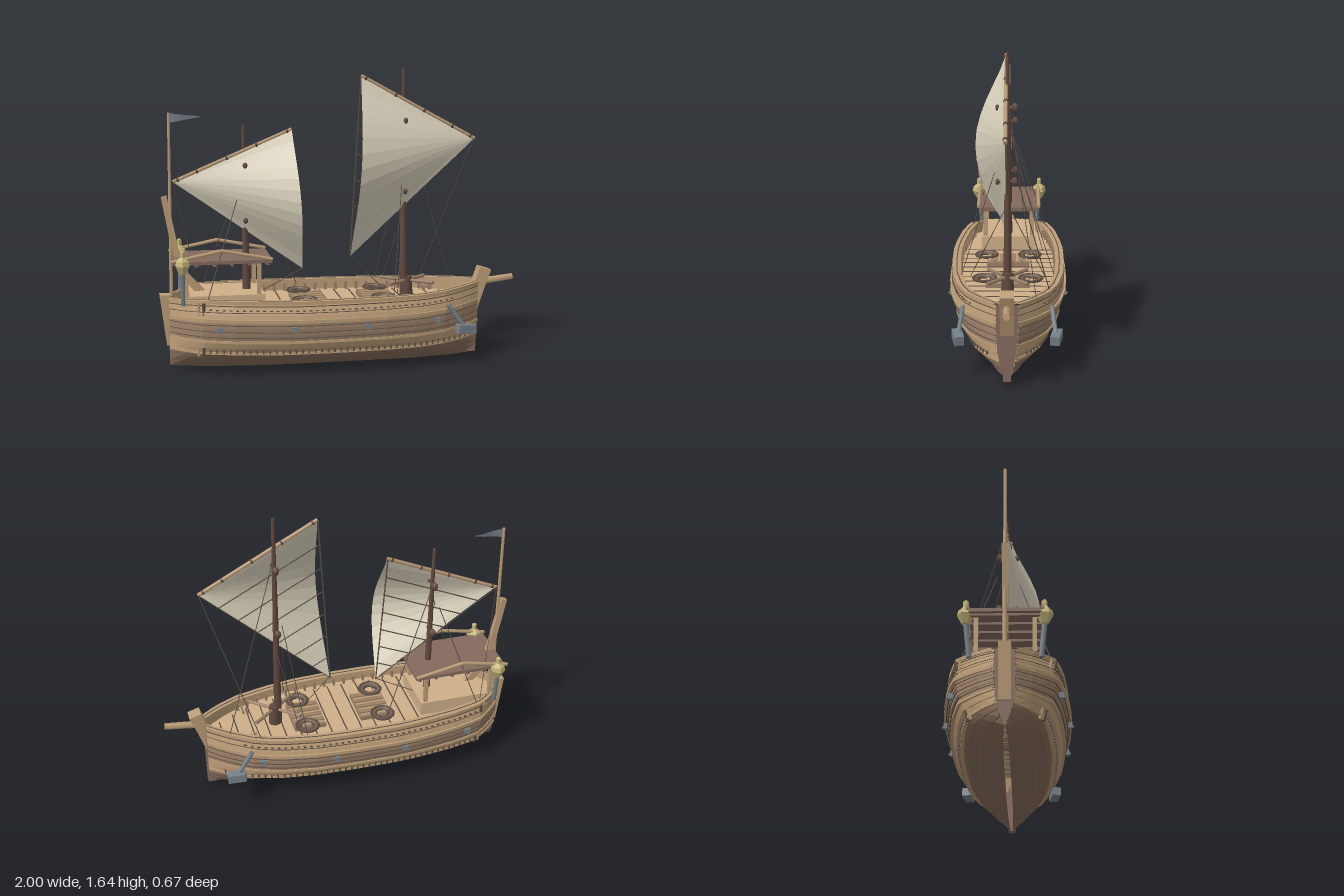
import * as THREE from 'three';

const mat = (name, color) => {
  const m = new THREE.MeshStandardMaterial({ color, side: THREE.DoubleSide });
  m.name = name;
  return m;
};
const M = {
  tan: mat('tan wood', 0xbc9d77), deck: mat('deck wood', 0xcfb089), brown: mat('hull brown', 0x9c8068),
  bottom: mat('lower hull brown', 0x866c5a), dark: mat('dark plank', 0x846a5e), mast: mat('mast wood', 0x61493f),
  rope: mat('rope', 0x5e5046), metal: mat('grey metal', 0x747f87), gold: mat('lantern gold', 0xc4b579), sail: mat('sailcloth', 0xdcd4be),
};

// Piecewise linear lookup in [key, value] pairs
const lookup = (t, x) => {
  let i = 1;
  while (i < t.length - 1 && x > t[i][0]) i++;
  const [a, p] = t[i - 1], [b, q] = t[i];
  return p + (q - p) * (x - a) / (b - a);
};
const BEAM = [[-0.95, 0.05], [-0.9, 0.12], [-0.83, 0.19], [-0.77, 0.24], [-0.6, 0.28], [-0.4, 0.305], [-0.25, 0.315],
  [0, 0.312], [0.2, 0.3], [0.4, 0.265], [0.55, 0.215], [0.66, 0.15], [0.74, 0.09], [0.78, 0.055]];
const SECTION = [[0, 0.05], [0.1, 0.38], [0.22, 0.64], [0.34, 0.79], [0.46, 0.89], [0.58, 0.95], [0.7, 0.99], [0.8, 1], [1, 0.96]];
const SHEER = [[-0.95, 0.41], [-0.78, 0.43], [-0.3, 0.42], [0.45, 0.42], [0.78, 0.44]];
const KEEL = [[-0.95, 0.035], [-0.75, 0.02], [-0.4, 0.01], [0.4, 0.01], [0.65, 0.018], [0.78, 0.033]];
const X0 = -0.95, X1 = 0.78, DECK = 0.365;
const xAt = u => X0 + (X1 - X0) * u;
const yAt = (x, v) => lookup(KEEL, x) * (1 - v) + lookup(SHEER, x) * v;
const zAt = (x, v) => lookup(BEAM, x) * lookup(SECTION, v);

// Flat-shaded surface over a grid; fn(u, v) gives [x, y, z]
function grid(nu, nv, fn) {
  const p = [];
  for (let i = 0; i < nu; i++) for (let j = 0; j < nv; j++) {
    const a = fn(i / nu, j / nv), b = fn((i + 1) / nu, j / nv);
    const c = fn((i + 1) / nu, (j + 1) / nv), d = fn(i / nu, (j + 1) / nv);
    p.push(...a, ...b, ...c, ...a, ...c, ...d);
  }
  const g = new THREE.BufferGeometry();
  g.setAttribute('position', new THREE.Float32BufferAttribute(p, 3));
  g.computeVertexNormals();
  return g;
}

export function createModel() {
  const ship = new THREE.Group();
  ship.name = 'sailingShip';
  const add = (name, geo, m, x = 0, y = 0, z = 0) => {
    const mesh = new THREE.Mesh(geo, m);
    mesh.name = name;
    mesh.position.set(x, y, z);
    ship.add(mesh);
    return mesh;
  };
  const box = (name, m, x, y, z, w, h, d) => add(name, new THREE.BoxGeometry(w, h, d), m, x, y, z);
  const bar = (name, m, a, b, r, r2 = r, sides = 6) => {
    const A = new THREE.Vector3(...a), B = new THREE.Vector3(...b), dir = B.clone().sub(A);
    const mesh = add(name, new THREE.CylinderGeometry(r2, r, dir.length(), sides), m);
    mesh.position.copy(A).addScaledVector(dir, 0.5);
    mesh.quaternion.setFromUnitVectors(new THREE.Vector3(0, 1, 0), dir.normalize());
    return mesh;
  };
  const plate = (name, m, pts, depth) => {
    const s = new THREE.Shape(pts.map(p => new THREE.Vector2(...p)));
    return add(name, new THREE.ExtrudeGeometry(s, { depth, bevelEnabled: false }), m, 0, 0, -depth / 2);
  };

  // Hull: overlapping strakes on each side, then wales, seams, studs and rails
  const levels = [0, 0.1, 0.2, 0.28, 0.37, 0.46, 0.56, 0.66, 0.76, 0.84, 0.92, 1];
  for (const s of [-1, 1]) {
    for (let k = 0; k < levels.length - 1; k++) {
      const lo = levels[k], hi = levels[k + 1];
      const m = lo < 0.27 ? M.bottom : lo < 0.45 ? M.tan : lo < 0.75 ? M.brown : M.tan;
      add('strake', grid(30, 2, (u, t) => {
        const x = xAt(u), v = t < 1 ? lo : hi, lip = t === 0.5 ? 0.007 : 0;
        return [x, yAt(x, v), s * (zAt(x, v) + lip)];
      }), m);
    }
    const band = (name, m, v, h, inner, outer) => add(name, grid(30, 4, (u, t) => {
      const x = xAt(u), c = Math.round(t * 4) % 4, up = c === 1 || c === 2 ? h : -h;
      return [x, yAt(x, v) + up, s * Math.max(0.02, zAt(x, v) + (c < 2 ? inner : outer))];
    }), m);
    band('lowerWale', M.tan, 0.29, 0.007, -0.01, 0.014);
    band('middleWale', M.tan, 0.47, 0.007, -0.01, 0.014);
    band('upperWale', M.tan, 0.76, 0.009, -0.01, 0.016);
    band('topRail', M.tan, 1, 0.009, -0.034, 0.014);
    band('railGroove', M.rope, 1, 0.0105, -0.014, -0.008);
    band('railSeam', M.rope, 0.955, 0.002, -0.01, 0.008);
    for (const v of [0.53, 0.61, 0.7, 0.87]) band('plankSeam', M.rope, v, 0.0015, -0.01, 0.0075);
    add('bulwarkInside', grid(30, 1, (u, t) => {
      const x = xAt(u);
      return [x, t ? yAt(x, 1) : DECK - 0.005, s * Math.max(0.01, zAt(x, 0.9) - 0.02)];
    }), M.tan);
    for (let x = -0.74; x < 0.7; x += 0.035) {
      box('stud', M.rope, x, yAt(x, 0.32), s * (zAt(x, 0.32) + 0.006), 0.008, 0.022, 0.014);
      if (x < 0.62) box('railStud', M.rope, x, yAt(x, 0.9), s * (zAt(x, 0.9) + 0.004), 0.014, 0.005, 0.014);
    }
    for (let x = -0.7; x < 0.62; x += 0.06)
      box('bulwarkFrame', M.brown, x, DECK + 0.022, s * (zAt(x, 0.9) - 0.034), 0.012, 0.044, 0.03);
    for (const x of [-0.69, -0.3, 0.1, 0.5]) {
      box('hullFitting', M.metal, x, 0.28, s * (zAt(x, 0.66) + 0.012), 0.03, 0.028, 0.024);
      bar('fittingPin', M.metal, [x, 0.275, s * zAt(x, 0.66)], [x, 0.275, s * (zAt(x, 0.66) + 0.033)], 0.007);
    }
    for (const x of [-0.775, -0.8]) bar('quarterPost', x < -0.78 ? M.tan : M.rope,
      [x, 0.12, s * (zAt(x, 0.28) + 0.008)], [x, 0.425, s * (zAt(x, 0.97) + 0.012)], 0.009);

    // Anchor slung at the bow
    bar('anchorArm', M.metal, [0.56, 0.36, s * 0.23], [0.65, 0.235, s * 0.25], 0.013);
    const fluke = box('anchorBlock', M.metal, 0.655, 0.226, s * 0.252, 0.1, 0.048, 0.05);
    fluke.rotation.set(0, s * 0.2, -0.12);
    // Stern lantern on a metal pole
    bar('lanternPole', M.metal, [-0.88, 0.4, s * 0.17], [-0.88, 0.58, s * 0.188], 0.013);
    const lantern = [[0, 0.565], [0.02, 0.575], [0.043, 0.62], [0.037, 0.645], [0.014, 0.665], [0.014, 0.695], [0, 0.705]];
    const lathe = new THREE.LatheGeometry(lantern.map(p => new THREE.Vector2(...p)), 6).toNonIndexed();
    lathe.computeVertexNormals();
    add('lantern', lathe, M.gold, -0.88, 0, s * 0.188);
    // Pavilion posts and peaked side trim
    for (const x of [-0.86, -0.47]) box('roofPost', M.tan, x, 0.53, s * 0.14, 0.022, 0.19, 0.022);
    for (const x of [-0.94, -0.4]) bar('roofTrim', M.tan, [x, 0.638, s * 0.178], [-0.67, 0.692, s * 0.178], 0.01);
    // Coils of rope and bow cleats
    for (const x of [-0.22, 0.22]) for (let k = 0; k < 3; k++) {
      const coil = add('ropeCoil', new THREE.TorusGeometry(0.062 - k * 0.012, 0.008, 5, 18),
        k === 1 ? M.bottom : M.rope, x, DECK + 0.035 - k * 0.004, s * 0.125);
      coil.rotation.x = Math.PI / 2;
    }
    for (const dx of [-0.014, 0.014]) box('bowCleat', M.brown, 0.525 + dx, DECK + 0.02, s * 0.135, 0.009, 0.02, 0.06);
  }
  for (const x of [X0, X1]) add('hullEnd', grid(1, 10, (u, v) => [x, yAt(x, v), (u * 2 - 1) * zAt(x, v)]), M.dark);

  // Deck with cross seams
  add('deck', grid(30, 1, (u, t) => {
    const x = xAt(u);
    return [x, DECK, (t * 2 - 1) * Math.max(0.01, zAt(x, 0.9) - 0.015)];
  }), M.deck);
  for (let x = -0.42; x < 0.72; x += 0.085) box('deckSeam', M.rope, x, DECK + 0.001, 0, 0.007, 0.004, 2 * (zAt(x, 0.9) - 0.05));

  // Slatted hatches
  for (const x of [-0.185, 0.2]) {
    box('hatch', M.brown, x, DECK + 0.012, 0, 0.18, 0.024, 0.24);
    for (let k = -4; k <= 4; k++) box('hatchSlat', k % 2 ? M.brown : M.tan, x, DECK + 0.027, k * 0.026, 0.17, 0.008, 0.013);
  }

  // Stem, sternpost and bowsprit
  plate('stem', M.tan, [[0.77, 0.28], [0.785, 0.28], [0.825, 0.4], [0.865, 0.505], [0.8, 0.525], [0.755, 0.4]], 0.07);
  plate('forefoot', M.dark, [[0.74, 0.033], [0.783, 0.033], [0.786, 0.3], [0.74, 0.3]], 0.04);
  plate('sternpost', M.tan, [[-0.94, 0.15], [-0.965, 0.15], [-1, 0.43], [-0.94, 0.43]], 0.06);
  bar('bowsprit', M.tan, [0.78, 0.432, 0], [1, 0.458, 0], 0.021, 0.018, 6);

  // Stern cabin, pavilion roof and tall curved tiller
  box('sternCabin', M.deck, -0.64, 0.4, 0, 0.4, 0.09, 0.32);
  box('pavilionRoof', M.dark, -0.665, 0.626, 0, 0.53, 0.018, 0.345);
  for (let k = 0; k < 6; k++) box('roofBeam', M.dark, -0.9 + k * 0.095, 0.612, 0, 0.018, 0.014, 0.34);
  plate('tiller', M.tan, [[-0.98, 0.96], [-0.95, 0.97], [-0.885, 0.65], [-0.84, 0.54], [-0.75, 0.44], [-0.8, 0.43], [-0.88, 0.53], [-0.925, 0.66]], 0.03);
  bar('flagpole', M.tan, [-0.935, 0.42, 0], [-0.93, 1.415, 0], 0.011, 0.008);
  add('pennant', grid(6, 1, (u, t) => [-0.93 + 0.175 * u, 1.412 - 0.02 * u - t * 0.052 * (1 - u), 0.006 * Math.sin(u * 6)]), M.metal);

  // Capstan around the main mast foot
  bar('capstan', M.mast, [0.38, DECK, 0], [0.38, 0.48, 0], 0.035, 0.03, 8);
  for (const a of [0.7, -0.7]) {
    const c = Math.cos(a) * 0.165, d = Math.sin(a) * 0.165;
    bar('capstanBar', M.brown, [0.38 - c, 0.46, -d], [0.38 + c, 0.46, d], 0.01);
  }

  // Lateen rig: peak A, far yard end B, loose corner C
  const line = (name, a, b, r = 0.0025) => bar(name, M.rope, a, b, r, r, 4);
  const rig = (x, top, A, B, C, blocks) => {
    bar('mast', M.mast, [x + 0.006, DECK, 0], [x - 0.003, top, 0], 0.023, 0.009, 8);
    const mix = (p, q, t) => [p[0] + (q[0] - p[0]) * t, p[1] + (q[1] - p[1]) * t];
    add('sail', grid(10, 12, (r, s) => {
      const [px, py] = mix(B, mix(A, C, s), r);
      return [px, py, 0.01 + 0.167 * Math.pow(Math.abs(Math.sin(Math.PI * s)), 1.25) * Math.pow(r, 1.4)];
    }), M.sail);
    bar('yard', M.tan, [...A, 0.008], [...B, 0.008], 0.01);
    for (const t of [0.04, 0.3, 0.55, 0.8, 0.96])
      bar('yardLashing', M.mast, [...mix(A, B, t - 0.008), 0.008], [...mix(A, B, t + 0.008), 0.008], 0.013);
    line('leechRope', [...A, 0], [...C, 0], 0.004);
    line('footRope', [...B, 0], [...C, 0]);
    for (let k = 1; k < 7; k++) line('sailRope', [...mix(A, C, k / 7), 0], [...mix(B, C, k / 7), 0], 0.0035);
    for (const y of blocks) {
      add('block', new THREE.SphereGeometry(0.021, 6, 5), M.mast, x, y, -0.038).scale.y = 1.2;
      bar('blockPin', M.mast, [x, y, -0.04], [x, y, 0.055], 0.008);
      add('toggle', new THREE.SphereGeometry(0.013, 6, 5), M.mast, x, y, 0.052).scale.y = 1.3;
    }
  };
  rig(0.355, 1.645, [0.115, 1.605], [0.76, 1.255], [0.055, 0.61], [1.36, 0.97]);
  rig(-0.53, 1.345, [-0.27, 1.32], [-0.915, 1.045], [-0.215, 0.55], [1.13, 0.83]);

  // Standing and running ropes
  line('stay', [0.355, 1.42, 0], [0.67, 0.42, -0.15]);
  line('yardRope', [0.76, 1.255, 0], [0.5, 0.42, -0.22]);
  line('mainSheet', [0.055, 0.61, 0.01], [0.24, 0.42, 0]);
  line('aftSheet', [-0.215, 0.55, 0.01], [-0.44, 0.43, 0]);
  line('yardRope', [-0.915, 1.045, 0], [-0.78, 0.44, -0.2]);
  line('stay', [-0.53, 1.1, 0], [-0.22, 0.42, -0.2]);
  for (const s of [-1, 1]) {
    line('shroud', [0.335, 1.04, s * 0.06], [0.25, 0.43, s * 0.25]);
    line('shroud', [0.36, 0.85, 0], [0.28, 0.43, s * 0.2]);
    line('shroud', [-0.56, 1.0, s * 0.05], [-0.75, 0.44, s * 0.22]);
  }
  return ship;
}
